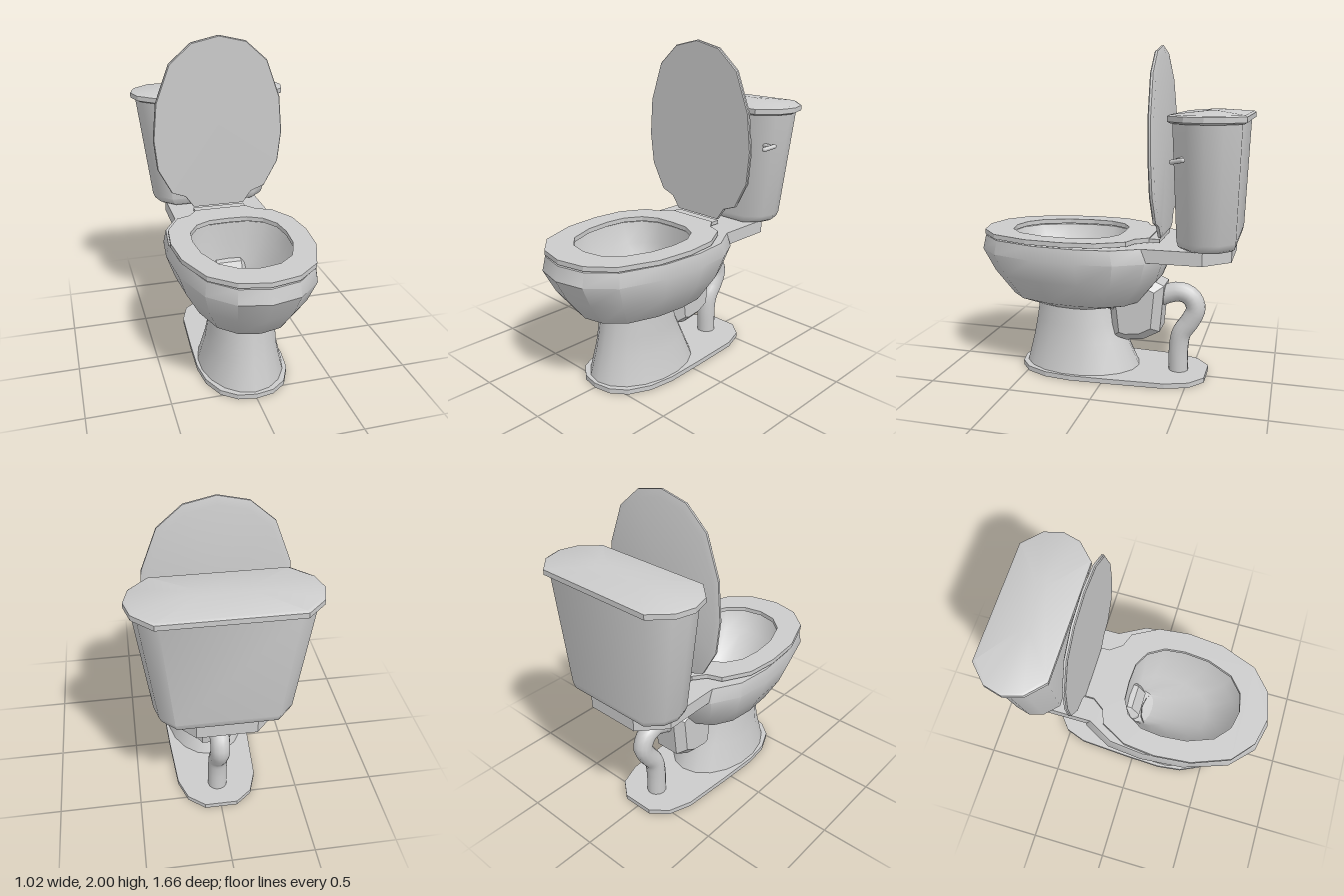
import * as THREE from 'three';
import { toCreasedNormals } from 'three/addons/utils/BufferGeometryUtils.js';

const mat = new THREE.MeshStandardMaterial({ color: 0xcccccc, side: THREE.DoubleSide });

// Half outlines as [x, t]: x is 0..1 of the half width, t runs from back (0) to front (1)
const EGG = [[0, 1], [.41, .965], [.74, .85], [.95, .625], [1, .4], [.95, .22], [.74, .08], [.42, .01], [0, 0]];
const SEAT = [[0, 1], [.41, .965], [.74, .855], [.95, .64], [1, .43], [.95, .25], [.74, .1], [.53, .07], [.4, 0]];
const TANK = [[.73, 1], [.94, .76], [1, .5], [.94, .24], [.73, 0]];
const ROUND = Array.from({ length: 10 }, (_, i) => {
  const a = Math.PI * i / 9;
  return [Math.sin(a), .5 + .5 * Math.cos(a)];
});

// Full outline in [x, z], counter-clockwise seen from above
function outline(half, hx, front, back) {
  const right = half.map(([x, t]) => [x * hx, back + t * (front - back)]);
  const left = right.filter(p => p[0] > 1e-6).reverse().map(([x, z]) => [-x, z]);
  return right.concat(left);
}

// Skin over rings [y, halfWidth, front z, back z]
function loft(half, rings, { bottom = true, top = true, crease = .7 } = {}) {
  const pos = [], idx = [];
  const loops = rings.map(([y, hx, f, b]) => outline(half, hx, f, b).map(([x, z]) => [x, y, z]));
  const n = loops[0].length;
  loops.forEach(l => l.forEach(p => pos.push(...p)));
  for (let r = 0; r < loops.length - 1; r++) {
    for (let i = 0; i < n; i++) {
      const a = r * n + i, b = r * n + (i + 1) % n;
      idx.push(a, b, b + n, a, b + n, a + n);
    }
  }
  const cap = (r, flip) => {
    const c = pos.length / 3, [y, , f, b] = rings[r];
    pos.push(0, y, (f + b) / 2);
    for (let i = 0; i < n; i++) {
      const p = r * n + i, q = r * n + (i + 1) % n;
      idx.push(...(flip ? [c, q, p] : [c, p, q]));
    }
  };
  if (bottom) cap(0, true);
  if (top) cap(rings.length - 1, false);
  const g = new THREE.BufferGeometry();
  g.setAttribute('position', new THREE.Float32BufferAttribute(pos, 3));
  g.setIndex(idx);
  return toCreasedNormals(g.toNonIndexed(), crease);
}

// Flat slab from [x, z] outlines, rising from y by h
function slab(outer, holes, y, h) {
  const toV = pts => pts.map(([x, z]) => new THREE.Vector2(x, -z));
  const s = new THREE.Shape(toV(outer));
  holes.forEach(p => s.holes.push(new THREE.Path(toV(p))));
  return new THREE.ExtrudeGeometry(s, { depth: h, bevelEnabled: false }).rotateX(-Math.PI / 2).translate(0, y, 0);
}

function tube(points, radius, segs, sides) {
  const curve = new THREE.CatmullRomCurve3(points.map(p => new THREE.Vector3(...p)));
  return new THREE.TubeGeometry(curve, segs, radius, sides);
}

export function createModel() {
  const model = new THREE.Group();
  const add = (name, geometry) => {
    const m = new THREE.Mesh(geometry, mat);
    m.name = name;
    model.add(m);
    return m;
  };

  // Floor plate, open under the pedestal and the pipe
  add('basePlate', slab(
    outline([[0, .58], [.11, .56], [.2, .49], [.26, .36], [.28, .2], [.27, -.05], [.25, -.38], [.2, -.52], [.1, -.6]], 1, 1, 0),
    [outline(ROUND, .255, .55, -.17), outline(ROUND, .05, -.375, -.475)], 0, .03));

  // Flared pedestal
  add('pedestal', loft(ROUND, [
    [.02, .265, .56, -.18], [.2, .22, .515, -.1], [.32, .207, .49, -.04], [.45, .2, .47, 0],
  ], { bottom: false, top: false }));

  // Bowl: up the outside, over the rim and down the inside
  add('bowl', loft(EGG, [
    [.43, .2, .48, -.02], [.48, .3, .635, -.2], [.63, .385, .755, -.32], [.77, .435, .83, -.37], [.855, .42, .81, -.34],
    [.855, .31, .65, -.1], [.72, .275, .6, -.095], [.58, .2, .44, -.085], [.47, .13, .2, -.075], [.42, .11, .035, -.07],
  ]));

  // Trap housing behind the pedestal
  const side = [[0, .5], [.03, .24], [.11, .22], [.22, .235], [.32, .29], [.345, .58], [.2, .64], [.05, .6]];
  const trap = new THREE.ExtrudeGeometry(new THREE.Shape(side.map(p => new THREE.Vector2(...p))), {
    depth: .16, bevelSize: .05, bevelThickness: .05, bevelOffset: -.05, bevelSegments: 1,
  });
  add('trap', trap.translate(0, 0, -.08).rotateY(Math.PI / 2));

  // Bent waste pipe
  add('wastePipe', tube([
    [0, .48, -.28], [0, .515, -.36], [0, .53, -.43], [0, .5, -.5], [0, .43, -.528], [0, .35, -.495],
    [0, .27, -.443], [0, .18, -.427], [0, .01, -.427],
  ], .06, 28, 14));

  // Shelf carrying the tank
  add('tankShelf', slab(
    [[.31, -.21], [.31, -.6], [.17, -.75], [-.17, -.75], [-.31, -.6], [-.31, -.21]], [], .775, .08));

  // Seat ring and hinge
  add('seat', slab(outline(SEAT, .42, .81, -.27), [outline(EGG, .29, .63, -.085)], .864, .028));
  add('hinge', new THREE.BoxGeometry(.34, .022, .09).translate(0, .876, -.285));

  // Raised lid, leaning slightly forward
  const lid = add('lid', loft(SEAT, [
    [0, .415, 1.1, .002], [.006, .42, 1.105, 0], [.018, .42, 1.105, 0], [.028, .39, 1.06, .03],
  ], { crease: .5 }).rotateX(-Math.PI / 2));
  lid.rotation.x = .028;
  lid.position.set(0, .895, -.32);

  // Tank, tapering towards the bottom
  const ring = (y, hx, hz) => [y, hx, -.615 + hz, -.615 - hz];
  add('tank', loft(TANK, [ring(.86, .35, .14), ring(.875, .375, .158), ring(.91, .39, .166), ring(1.575, .48, .188)], { crease: .8 }));
  add('tankLid', loft(TANK, [
    ring(1.57, .49, .195), ring(1.58, .51, .212), ring(1.61, .51, .212), ring(1.618, .495, .2), ring(1.635, .2, .03),
  ], { crease: .5 }));

  // Flush handle on the front left corner of the tank
  const handle = new THREE.Group();
  handle.name = 'flushHandle';
  const stem = new THREE.Mesh(tube([[.37, 1.38, -.5], [.41, 1.38, -.485], [.445, 1.38, -.475]], .016, 4, 8), mat);
  stem.name = 'handleStem';
  const lever = new THREE.Mesh(new THREE.CapsuleGeometry(.014, .07, 3, 8), mat);
  lever.name = 'handleLever';
  lever.position.set(.438, 1.376, -.47);
  lever.quaternion.setFromUnitVectors(new THREE.Vector3(0, 1, 0), new THREE.Vector3(-.4, -.2, .9).normalize());
  handle.add(stem, lever);
  model.add(handle);

  return model;
}
